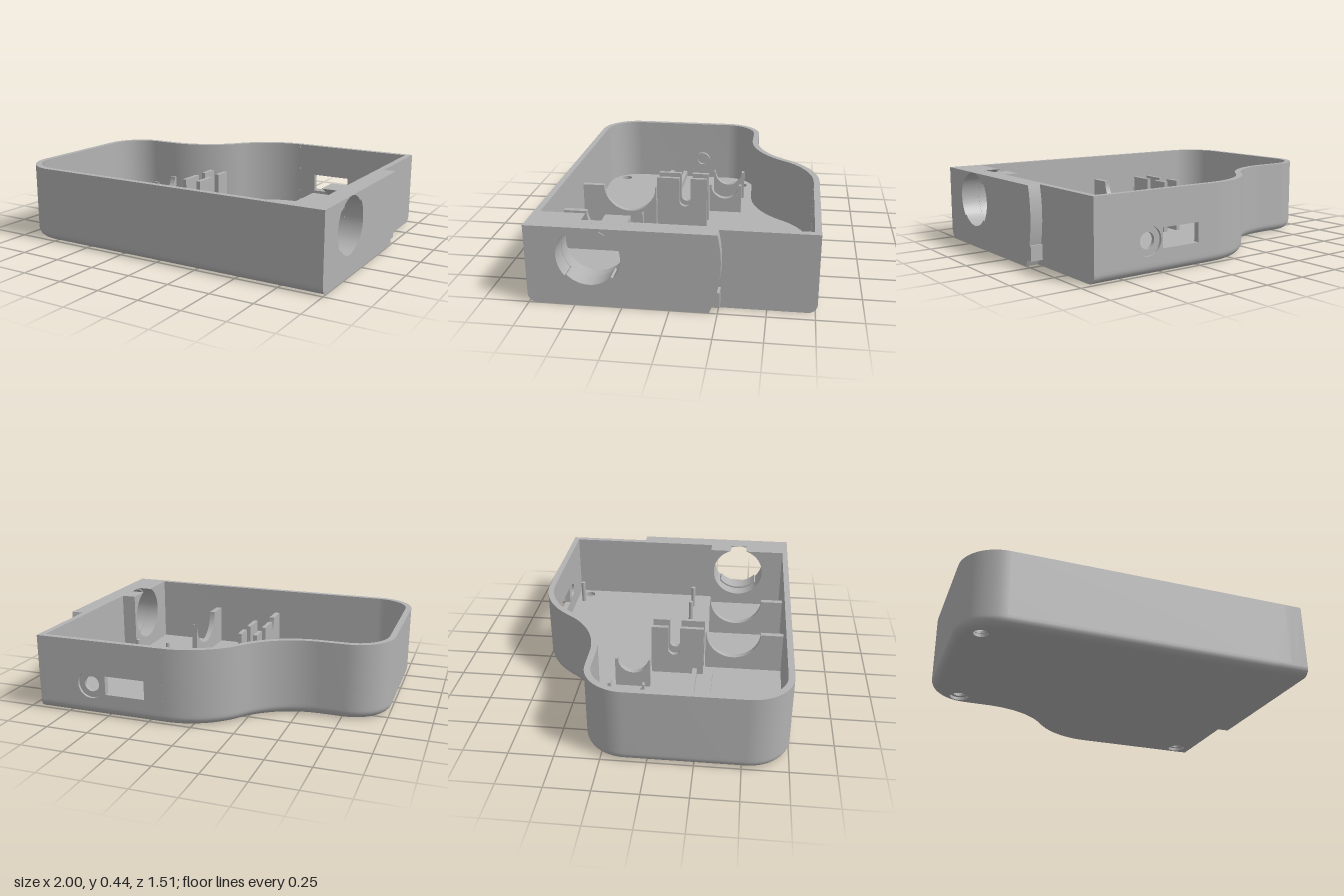
import * as THREE from 'three';
import { toCreasedNormals } from 'three/addons/utils/BufferGeometryUtils.js';

const H = 0.44, WALL = 0.035, FLOOR = 0.035, FILLET = 0.05, RIM = 0.06;
const PI = Math.PI;
const BORE = { u: -0.42, y: 0.28 }; // axis of the large side bore (u = -z)

export function createModel() {
  const model = new THREE.Group();
  const grey = new THREE.MeshStandardMaterial({ color: 0xb2b2b2 });
  grey.name = 'grey plastic';

  function add(name, geometry) {
    const mesh = new THREE.Mesh(geometry, grey);
    mesh.name = name;
    model.add(mesh);
    return mesh;
  }
  const extrude = (shape, depth) => toCreasedNormals(
    new THREE.ExtrudeGeometry(shape, { depth, bevelEnabled: false, curveSegments: 32 }), 0.5);
  // Shape drawn in (-z, y), extruded along x from x0 to x1
  function addAlongX(name, shape, x0, x1) {
    const mesh = add(name, extrude(shape, x1 - x0));
    mesh.rotation.y = PI / 2;
    mesh.position.x = x0;
  }
  const circle = (x, y, r) => new THREE.Path().absarc(x, y, r, 0, 2 * PI, false);
  const rect = (x0, y0, x1, y1) => new THREE.Shape([
    new THREE.Vector2(x0, y0), new THREE.Vector2(x1, y0),
    new THREE.Vector2(x1, y1), new THREE.Vector2(x0, y1)]);

  // Plan contour: points with inward normals, from back right round to front right
  const arc = (cx, cz, r, a0, a1, side, n = 24) => Array.from({ length: n + 1 }, (_, i) => {
    const a = a0 + (a1 - a0) * i / n, c = Math.cos(a), s = Math.sin(a);
    return { x: cx + r * c, z: cz + r * s, nx: side * c, nz: side * s };
  });
  const R = 0.4767, T = 0.958;
  const curved = [
    ...arc(0.16, -0.283, R, -PI / 2, -PI / 2 - T, -1),
    ...arc(-0.62, -0.832, R, PI / 2 - T, PI / 2, 1).slice(1),
    ...arc(-0.765, -0.12, 0.235, -PI / 2, -PI, -1),
    ...arc(-0.765, 0.52, 0.235, PI, PI / 2, -1),
    { x: 0.893, z: 0.755, nx: 0, nz: -1 }];
  const contour = [{ x: 0.893, z: -0.76, nx: 0, nz: 1 }, ...curved];

  // Sweep a profile of [inward offset, height] along the contour
  function sweep(path, profile) {
    const pos = [], idx = [], m = profile.length;
    path.forEach((p, i) => profile.forEach(([o, y], j) => {
      pos.push(p.x + p.nx * o, y, p.z + p.nz * o);
      if (i && j) {
        const c = i * m + j, d = c - 1, b = c - m, a = b - 1;
        idx.push(a, b, c, a, c, d);
      }
    }));
    const g = new THREE.BufferGeometry();
    g.setAttribute('position', new THREE.Float32BufferAttribute(pos, 3));
    g.setIndex(idx);
    return toCreasedNormals(g, 0.5);
  }
  const fillet = Array.from({ length: 9 }, (_, i) => {
    const a = i / 8 * PI / 2;
    return [FILLET * (1 - Math.cos(a)), FILLET * (1 - Math.sin(a))];
  });
  add('roundedBottomEdge', sweep(contour, [[0, RIM], ...fillet]));
  add('innerBottomEdge', sweep(contour, [[FILLET, FLOOR], [WALL, FLOOR], [WALL, RIM]]));
  add('curvedWall', sweep(curved, [[WALL, RIM], [WALL, H], [0, H], [0, RIM]]));

  // Floor in two layers, with counterbored screw holes
  const screws = [[0.83, -0.65, 0.055], [-0.815, -0.24, 0.055], [-0.87, 0.62, 0.039]];
  [[0, 0.018, true], [0.018, FLOOR, false]].forEach(([y0, y1, wide]) => {
    const shape = new THREE.Shape(contour.map(p =>
      new THREE.Vector2(p.x + p.nx * FILLET, -(p.z + p.nz * FILLET))));
    screws.forEach(([x, z, r]) => shape.holes.push(circle(x, -z, wide ? r : 0.035)));
    const mesh = add(wide ? 'floorUnderside' : 'floor', extrude(shape, y1 - y0));
    mesh.rotation.x = -PI / 2;
    mesh.position.y = y0;
  });

  // Back panel with a slot and a recessed round hole
  [[-0.76, 0.015, 0.08], [-0.745, 0.02, 0.045]].forEach(([z, depth, r]) => {
    const shape = rect(0.16, RIM, 0.893, H);
    shape.holes.push(circle(0.6, 0.18, r), rect(0.27, 0.13, 0.51, 0.24));
    add('backPanel', extrude(shape, depth)).position.z = z;
  });

  // Side plates: common front edge with bottom fillet
  function startSide() {
    return new THREE.Shape().moveTo(-0.755, H).lineTo(-0.755, FILLET)
      .absarc(-0.705, FILLET, FILLET, PI, 1.5 * PI, false);
  }
  // Bore with wider pockets on both sides
  function boreHole() {
    const k = 0.73;
    return new THREE.Path()
      .absarc(BORE.u, BORE.y, 0.17, -k, k, false)
      .absarc(BORE.u, BORE.y, 0.158, k, PI - k, false)
      .absarc(BORE.u, BORE.y, 0.17, PI - k, PI + k, false)
      .absarc(BORE.u, BORE.y, 0.158, PI + k, 2 * PI - k, false);
  }
  const sideWall = startSide().lineTo(0.71, 0)
    .absarc(0.71, FILLET, FILLET, -PI / 2, 0, false).lineTo(0.76, H);
  sideWall.holes.push(boreHole());
  addAlongX('rightWall', sideWall, 0.893, 0.93);

  const pad = startSide()
    .absarc(BORE.u, BORE.y, 0.685, -0.421, 0.2357, false);
  pad.holes.push(boreHole());
  addAlongX('raisedSidePad', pad, 0.93, 1);
  addAlongX('sideTab', rect(0.195, 0.035, 0.26, 0.12), 0.93, 1);

  const notch = Math.atan2(H - BORE.y, 0.053);
  addAlongX('innerBoreBlock', startSide().lineTo(-0.23, 0).lineTo(-0.23, H)
    .absarc(BORE.u, BORE.y, 0.1685, notch, PI - notch, true), 0.805, 0.893);

  // Upright plates with a rounded slot open at the top
  function upright(name, u0, u1, top, c, cy, r, xs, thick) {
    const shape = new THREE.Shape().moveTo(u0, 0.03).lineTo(u1, 0.03).lineTo(u1, top)
      .lineTo(c + r, top).absarc(c, cy, r, 0, -PI, true).lineTo(c - r, top).lineTo(u0, top);
    xs.forEach(x => addAlongX(name, shape, x, x + thick));
  }
  upright('largeCradle', -0.725, -0.25, 0.281, BORE.u, BORE.y, 0.165, [-0.075, 0.363], 0.034);
  upright('smallCradle', 0.062, 0.27, 0.22, 0.163, 0.219, 0.09, [-0.598, -0.333], 0.034);
  upright('slottedPlate', -0.243, 0.073, 0.35, -0.065, 0.2, 0.036, [-0.162, -0.064], 0.025);

  // Low floor rails
  [0.193, 0.29].forEach(z => {
    add('floorRail', new THREE.BoxGeometry(0.81, 0.045, 0.027)).position.set(-0.568, 0.0525, z);
  });

  // Locating pins
  [[0.73, -0.675], [0.515, 0.115], [0.73, 0.115]].forEach(([x, z]) => {
    add('locatingPin', new THREE.CylinderGeometry(0.014, 0.014, 0.15, 20)).position.set(x, 0.105, z);
  });

  // Ring boss on the inside of the far wall
  const ring = new THREE.Shape().absarc(-0.065, 0.17, 0.056, 0, 2 * PI, false);
  ring.holes.push(circle(-0.065, 0.17, 0.03));
  addAlongX('ringBoss', ring, -0.967, -0.942);

  return model;
}
